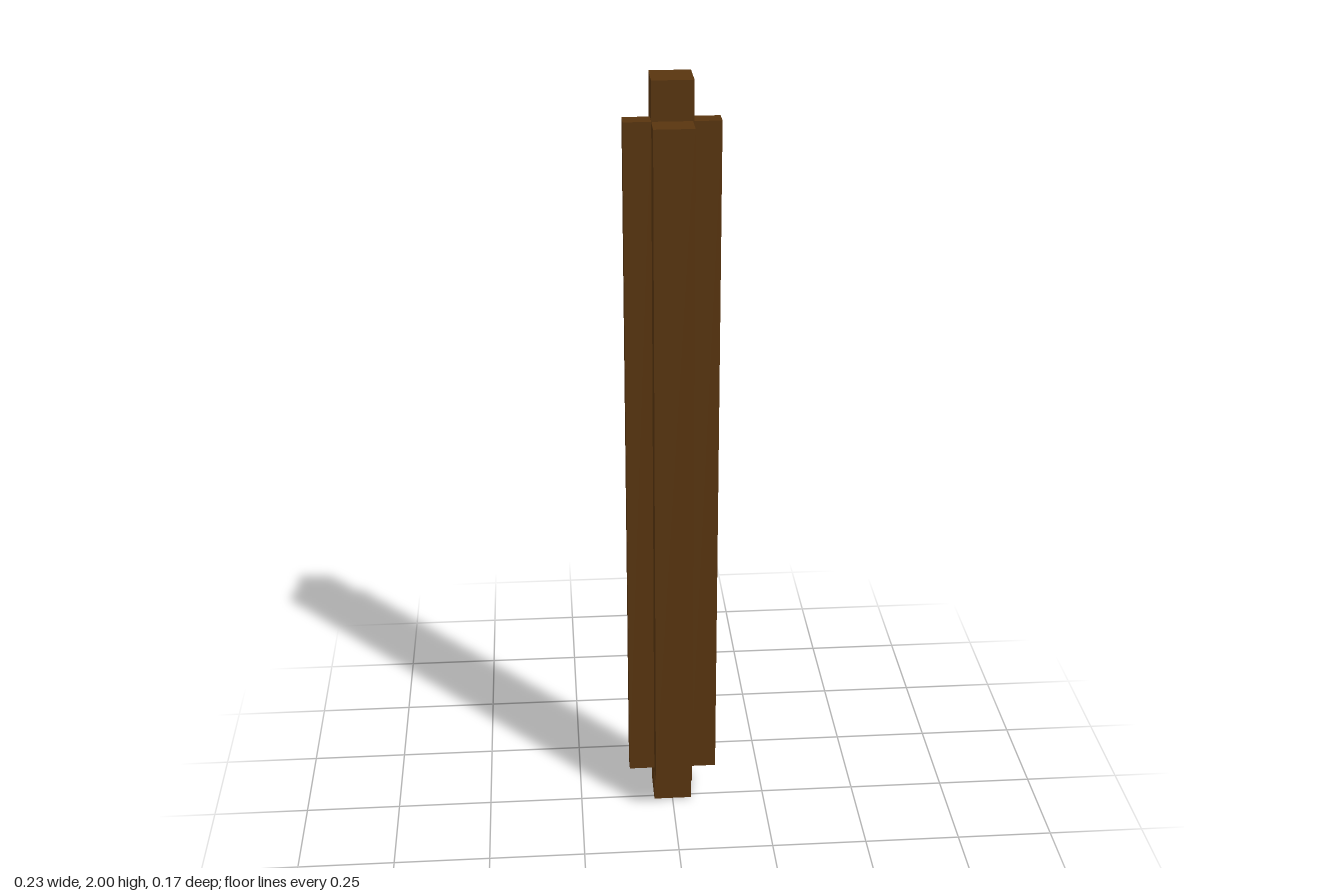
import * as THREE from 'three';

export function createModel() {
  const model = new THREE.Group();
  model.name = 'timberPost';
  const wood = new THREE.MeshStandardMaterial({ color: 0x59350f });
  wood.name = 'dark brown wood';

  // Beam given by its lower and upper corners
  function beam(name, [x0, y0, z0], [x1, y1, z1]) {
    const mesh = new THREE.Mesh(new THREE.BoxGeometry(x1 - x0, y1 - y0, z1 - z0), wood);
    mesh.name = name;
    mesh.position.set((x0 + x1) / 2, (y0 + y1) / 2, (z0 + z1) / 2);
    model.add(mesh);
  }

  // Full-height central post
  beam('corePost', [-0.05, 0, -0.085], [0.051, 2, 0.015]);

  // Shorter battens on the front and both sides
  const low = 0.103, high = 1.903;
  beam('frontBatten', [-0.05, low, 0.015], [0.048, high, 0.084]);
  beam('leftBatten', [0.051, low, -0.033], [0.117, high, 0.015]);
  beam('rightBatten', [-0.117, low, -0.033], [-0.05, high, 0.015]);

  return model;
}
